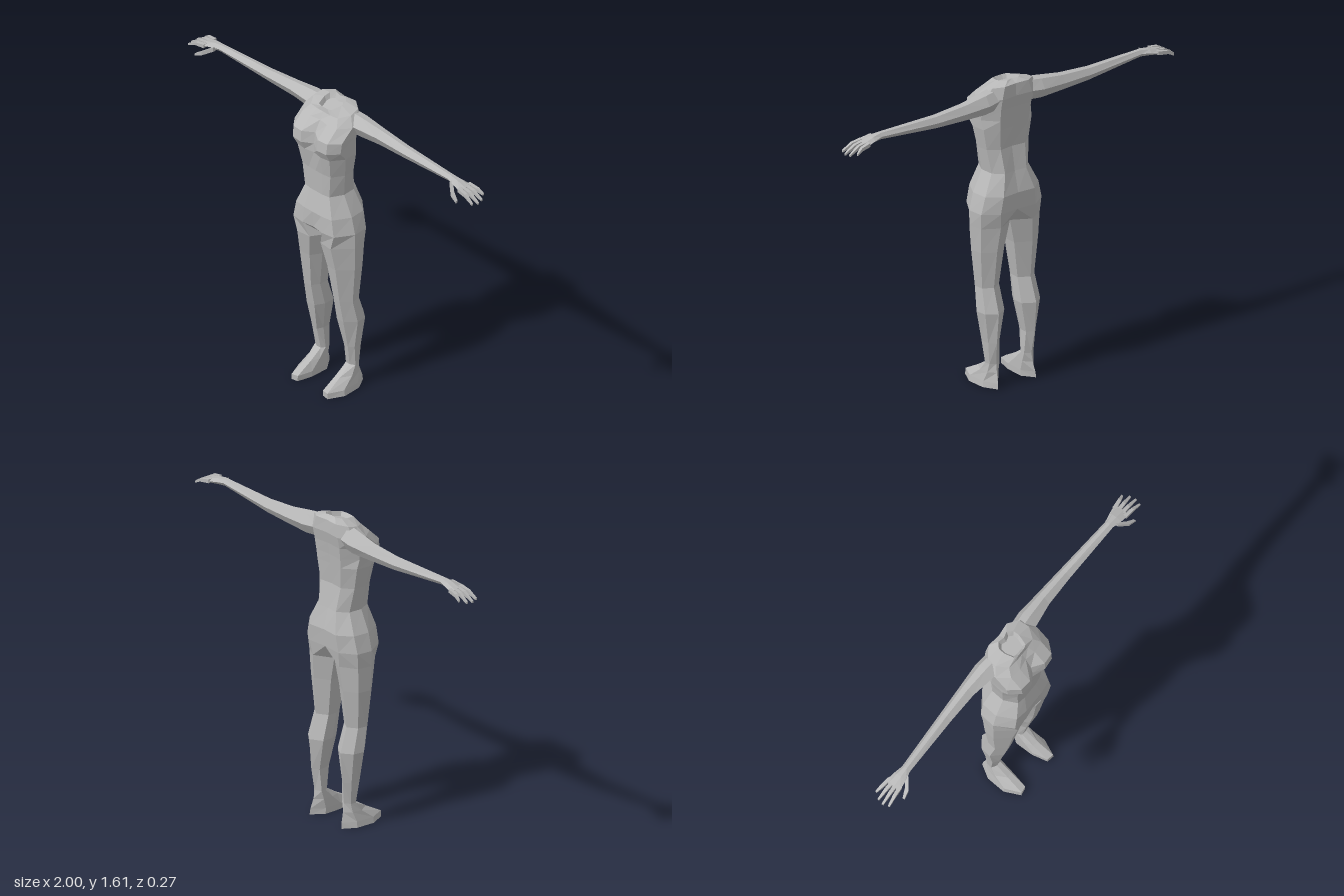
import * as THREE from 'three';

const skin = new THREE.MeshStandardMaterial({ color: 0xb8b8b8 });
skin.name = 'plain grey';
const lerp = THREE.MathUtils.lerp;

// Skin closed rings of [x, y, z] points, faceted; side = -1 mirrors across x
function loft(name, rings, side = 1) {
  const pos = [];
  const tri = (a, b, c) => {
    for (const p of side > 0 ? [a, b, c] : [a, c, b]) pos.push(p[0] * side, p[1], p[2]);
  };
  const n = rings[0].length;
  for (let r = 0; r < rings.length - 1; r++) {
    const lo = rings[r], hi = rings[r + 1];
    for (let i = 0; i < n; i++) {
      const j = (i + 1) % n;
      tri(lo[i], lo[j], hi[j]);
      tri(lo[i], hi[j], hi[i]);
    }
  }
  const first = rings[0], last = rings[rings.length - 1];
  for (let i = 1; i < n - 1; i++) {
    tri(first[0], first[i + 1], first[i]);
    tri(last[0], last[i], last[i + 1]);
  }
  const geo = new THREE.BufferGeometry();
  geo.setAttribute('position', new THREE.Float32BufferAttribute(pos, 3));
  geo.computeVertexNormals();
  const mesh = new THREE.Mesh(geo, skin);
  mesh.name = name;
  return mesh;
}

// Half torso section, front centre round the side to back centre:
// height, half width, front z, side z, back z, depth of the front hollow, tilt
function halfRing([y, w, zf, zs, zb, hollow = 0, tilt = 0]) {
  return [
    [0, zf - hollow], [w * 0.35, zf], [w * 0.72, lerp(zf, zs, 0.1)], [w, zs],
    [w * 0.95, lerp(zs, zb, 0.6)], [w * 0.55, zb], [0, zb + 0.008],
  ].map(([x, z]) => [x, y + tilt * z, z]);
}
const mirrored = (h) => [...h, ...h.slice(1, -1).reverse().map(([x, y, z]) => [-x, y, z])];

// The hip section is shared by torso and legs
const hip = halfRing([0.93, 0.195, 0.113, 0.01, -0.128, 0.01]);
const torsoRings = [
  hip,
  ...[
    [1.02, 0.172, 0.11, 0.01, -0.135],
    [1.127, 0.118, 0.085, 0.01, -0.108],
    [1.25, 0.135, 0.09, 0.02, -0.085],
    [1.36, 0.155, 0.11, 0.035, -0.095, 0.01],
    [1.41, 0.16, 0.135, 0.075, -0.1, 0.035],
    [1.47, 0.165, 0.13, 0.07, -0.108, 0.04],
    [1.53, 0.165, 0.068, 0, -0.12, 0.01],
    [1.572, 0.13, 0.035, -0.025, -0.115, 0, -0.2],
    [1.594, 0.06, 0.03, -0.03, -0.085, 0, -0.2],
    [1.57, 0.048, 0.015, -0.03, -0.07, 0, -0.2], // recessed neck opening
  ].map(halfRing),
].map(mirrored);

// Leg section: height, inner x, outer x, front z, outer side z, back z
function legRing([y, xi, xo, zf, zs, zb]) {
  const x = (t) => lerp(xi, xo, t);
  return [
    [xi, y, lerp(zf, zb, 0.35)], [x(0.2), y, lerp(zf, zs, 0.08)], [x(0.6), y, zf], [xo, y, zs],
    [x(0.93), y, lerp(zs, zb, 0.6)], [x(0.5), y, zb], [xi, y, lerp(zf, zb, 0.75)],
  ];
}
const legRings = [
  ...[
    [0, 0.07, 0.165, 0.13, 0.05, -0.118],
    [0.03, 0.07, 0.16, 0.13, 0.05, -0.115],
    [0.08, 0.072, 0.148, 0.04, -0.015, -0.1],
    [0.125, 0.075, 0.14, -0.03, -0.045, -0.092],
    [0.24, 0.082, 0.15, -0.01, -0.03, -0.108],
    [0.4, 0.053, 0.177, 0.025, -0.025, -0.122],
    [0.525, 0.057, 0.168, 0.047, 0, -0.08],
    [0.72, 0.03, 0.187, 0.075, 0.005, -0.1],
    [0.85, 0, 0.194, 0.1, 0.01, -0.115],
  ].map(legRing),
  hip,
];

// Six-sided arm section: x, top y, bottom y, front z, back z
function armRing([x, top, bot, zf, zb]) {
  const y = (t) => lerp(top, bot, t), z = (t) => lerp(zf, zb, t);
  return [
    [x, top, z(0.4)], [x, y(0.38), zf], [x, bot, z(0.35)],
    [x, bot, z(0.72)], [x, y(0.5), zb], [x, y(0.06), z(0.75)],
  ];
}
const armRings = [
  [0.09, 1.582, 1.47, 0, -0.11],
  [0.17, 1.573, 1.465, -0.008, -0.12],
  [0.3, 1.554, 1.47, -0.03, -0.112],
  [0.47, 1.54, 1.475, -0.035, -0.102],
  [0.8, 1.536, 1.5, -0.03, -0.078],
].map(armRing);
const palmRings = [
  armRings[armRings.length - 1],
  armRing([0.85, 1.529, 1.495, -0.018, -0.09]),
  armRing([0.905, 1.512, 1.487, -0.012, -0.1]),
];

// Tapered four-sided finger along a path of [x, y, z, radius]
const fingerRings = (path) => path.map(([x, y, z, r]) => [
  [x, y + r, z - r], [x, y + r, z + r], [x, y - r, z + r], [x, y - r, z - r],
]);

function hand(label, side) {
  const group = new THREE.Group();
  group.name = label + 'Hand';
  group.add(loft('palm', palmRings, side));
  // four fingers fanning out, the second one longest
  for (let i = 0; i < 4; i++) {
    const root = -0.022 - 0.022 * i, tip = -0.012 - 0.031 * i;
    const x = 1 - 0.008 * (i - 1.1) ** 2;
    group.add(loft('finger', fingerRings([
      [0.885, 1.505, root, 0.01],
      [0.94, 1.497, (root + tip) / 2, 0.0085],
      [x, 1.467 + (1 - x) * 0.4, tip, 0.005],
    ]), side));
  }
  group.add(loft('thumb', fingerRings([
    [0.825, 1.512, -0.03, 0.012], [0.87, 1.485, 0.006, 0.011], [0.912, 1.463, 0.018, 0.006],
  ]), side));
  return group;
}

export function createModel() {
  const model = new THREE.Group();
  model.name = 'figure';
  model.add(loft('torso', torsoRings));
  for (const side of [1, -1]) {
    const label = side > 0 ? 'left' : 'right';
    model.add(loft(label + 'Leg', legRings, side));
    model.add(loft(label + 'Arm', armRings, side));
    model.add(hand(label, side));
  }
  return model;
}
